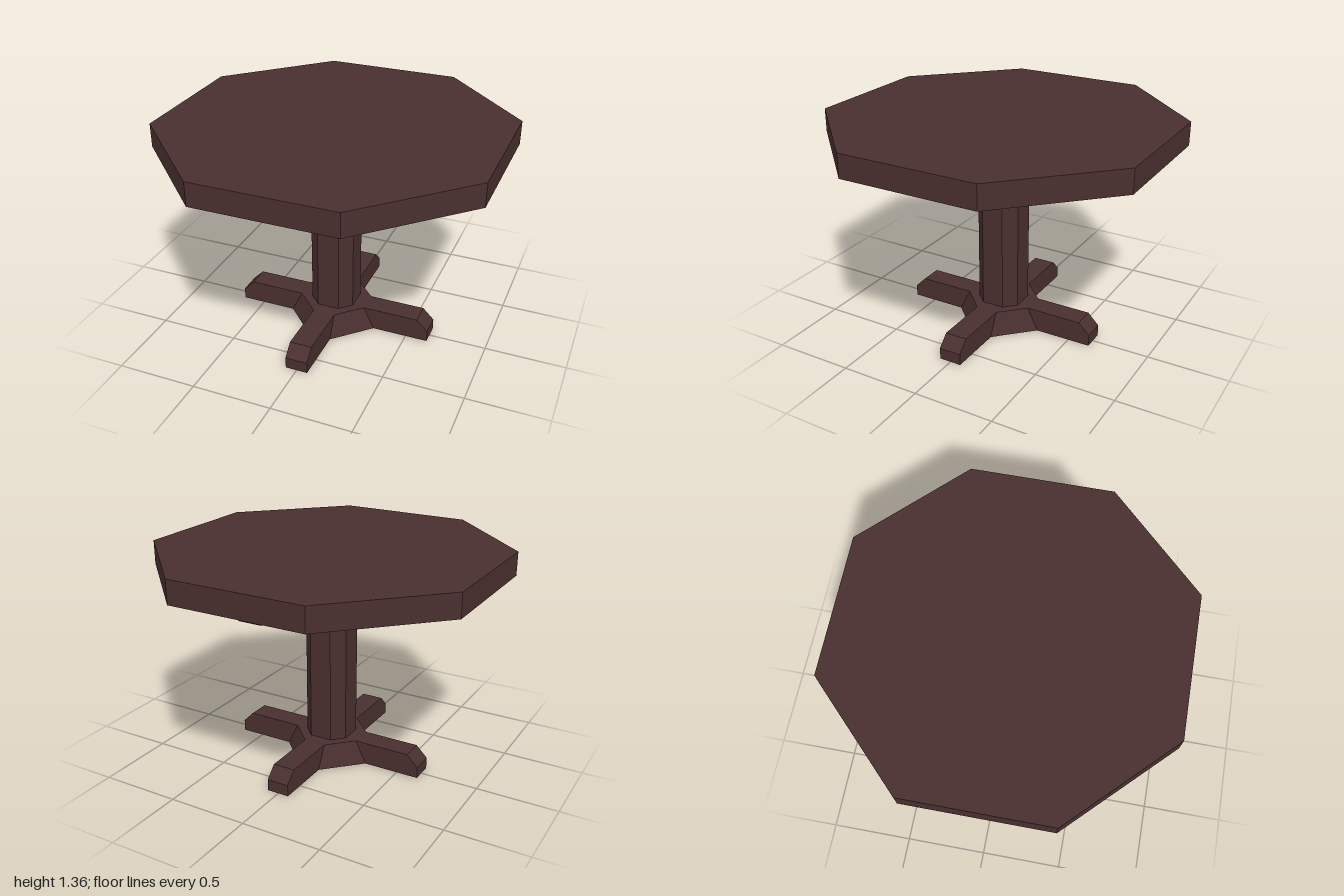
import * as THREE from 'three';

const HALF = 0.07; // half width of arms, braces and column faces

// Eight-sided outline in x/z: faces of half width a at distance b from the axis
function octagon(a, b) {
  return [[b, a], [a, b], [-a, b], [-b, a], [-b, -a], [-a, -b], [a, -b], [b, -a]];
}

// Flat-faced solid between a lower and an upper outline
function prism(low, y0, high, y1) {
  const pos = [];
  const lo = low.map(([x, z]) => [x, y0, z]);
  const hi = high.map(([x, z]) => [x, y1, z]);
  const n = lo.length;
  for (let i = 0; i < n; i++) {
    const j = (i + 1) % n;
    pos.push(...lo[j], ...lo[i], ...hi[i], ...lo[j], ...hi[i], ...hi[j]);
    if (i > 0 && i < n - 1) {
      pos.push(...hi[0], ...hi[j], ...hi[i], ...lo[0], ...lo[i], ...lo[j]);
    }
  }
  const g = new THREE.BufferGeometry();
  g.setAttribute('position', new THREE.Float32BufferAttribute(pos, 3));
  g.computeVertexNormals();
  return g;
}

const toShape = (pts) => new THREE.Shape(pts.map(([x, y]) => new THREE.Vector2(x, y)));

// Beam along x whose side profile is mirrored about x = 0
function beam(half) {
  const mirrored = half.map(([x, y]) => [-x, y]).reverse();
  const g = new THREE.ExtrudeGeometry(toShape([...half, ...mirrored]), {
    depth: HALF * 2, bevelEnabled: false,
  });
  return g.translate(0, 0, -HALF);
}

// Downward-facing flat sheet in x/z
function sheet(pts, y) {
  return new THREE.ShapeGeometry(toShape(pts)).rotateX(Math.PI / 2).translate(0, y, 0);
}

export function createModel() {
  const wood = new THREE.MeshStandardMaterial({ color: 0x4a2f2f });
  wood.name = 'darkWood';
  const olive = new THREE.MeshStandardMaterial({ color: 0xb5ac8a });
  olive.name = 'paleOlive';
  const grey = new THREE.MeshStandardMaterial({ color: 0xabb2ae });
  grey.name = 'paleGrey';

  const table = new THREE.Group();
  table.name = 'table';
  const add = (name, geometry, material = wood) => {
    const mesh = new THREE.Mesh(geometry, material);
    mesh.name = name;
    table.add(mesh);
    return mesh;
  };

  // Top, column and flared hub
  const top = octagon(0.428, 1);
  add('tabletop', prism(top, 1.215, top, 1.36));
  const shaft = octagon(HALF, 0.14);
  add('column', prism(shaft, 0.1, shaft, 1.22));
  add('baseHub', prism(octagon(HALF, 0.285), 0.003, octagon(HALF, 0.215), 0.145));

  // Crossed feet and crossed braces under the top
  const foot = beam([[0.64, 0.003], [0.64, 0.075], [0.57, 0.145]]);
  const brace = beam([[0.14, 1.0], [0.855, 1.145], [0.925, 1.217]]);
  ['Across', 'Along'].forEach((dir, i) => {
    add('foot' + dir, foot).rotation.y = i * Math.PI / 2;
    add('brace' + dir, brace).rotation.y = i * Math.PI / 2;
  });

  // Pale underside of the base
  const h = HALF, r = 0.285, e = 0.64;
  add('hubUnderside', sheet([
    [r, h], [h, r], [h, e], [-h, e], [-h, r], [-r, h],
    [-r, -h], [-h, -r], [-h, -e], [h, -e], [h, -r], [r, -h],
  ], 0.0015), olive);
  for (const s of [-1, 1]) {
    add(s > 0 ? 'leftFootUnderside' : 'rightFootUnderside',
      sheet([[s * 0.16, -h], [s * e, -h], [s * e, h], [s * 0.16, h]], 0), grey);
  }
  return table;
}
